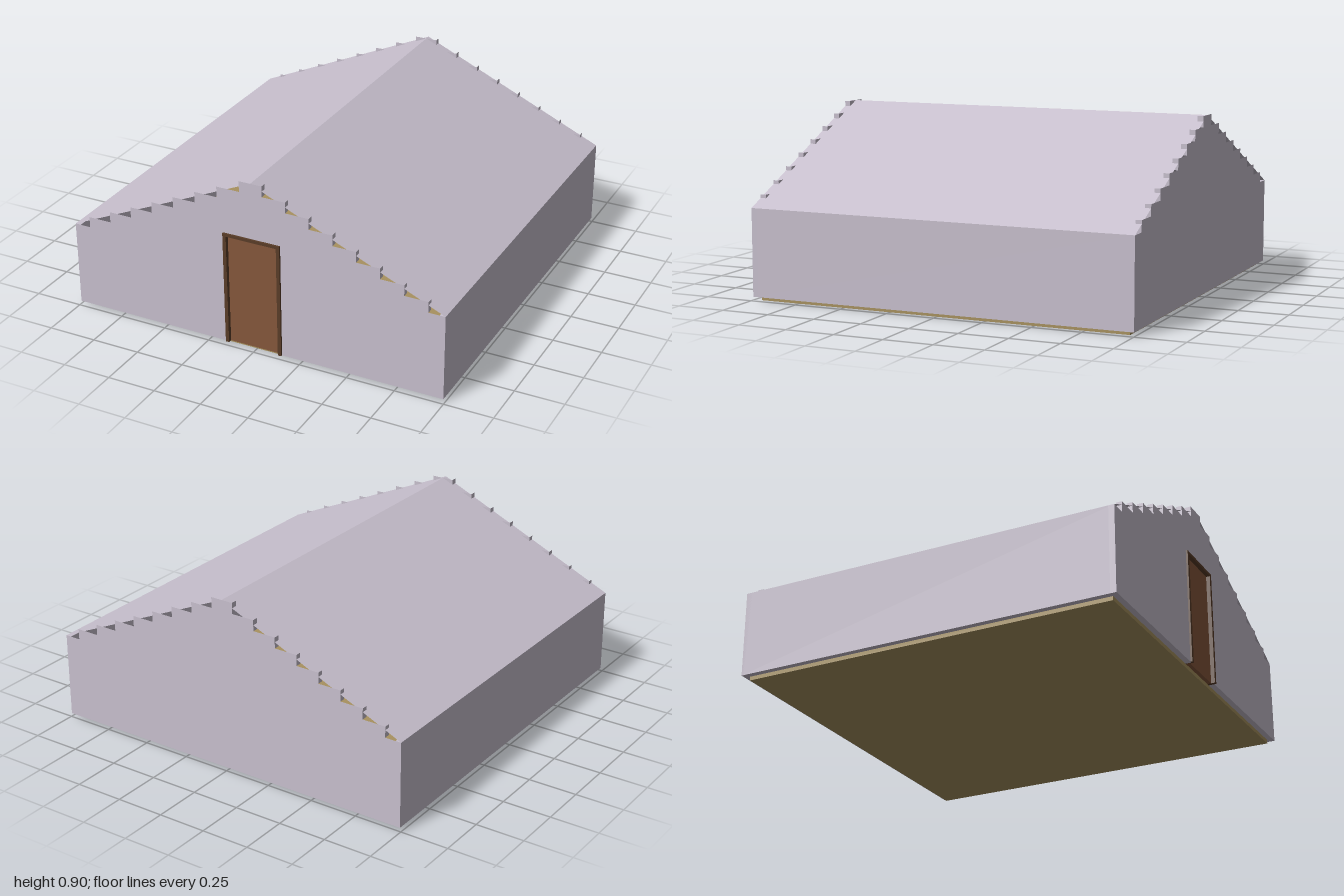
import * as THREE from 'three';

const HALF = 0.995, BACK = -1, FRONT = 0.99, BASE = 0.02, EAVE = 0.46, RIDGE = 0.905, WALL = 0.03;
const MID = (FRONT + BACK) / 2, DEPTH = FRONT - BACK;
const material = (color) => new THREE.MeshStandardMaterial({ color });

export function createModel() {
  const group = new THREE.Group();
  const plaster = material(0xc8c0ce);
  const roofPlaster = material(0xc8c0ce);
  roofPlaster.side = THREE.DoubleSide;
  const doorWood = material(0x85573b);
  const frameWood = material(0x5a3d28);
  const floorWood = material(0xa8925f);

  const add = (name, geometry, mat, x = 0, y = 0, z = 0) => {
    const mesh = new THREE.Mesh(geometry, mat);
    mesh.name = name;
    mesh.position.set(x, y, z);
    group.add(mesh);
    return mesh;
  };
  const box = (name, mat, x0, x1, y0, y1, z0, z1) =>
    add(name, new THREE.BoxGeometry(x1 - x0, y1 - y0, z1 - z0), mat,
      (x0 + x1) / 2, (y0 + y1) / 2, (z0 + z1) / 2);

  // Stepped gable wall, optionally with a doorway cut up from the bottom edge
  const gableGeometry = (doorway) => {
    const right = [[HALF, BASE], [HALF, EAVE]];
    const steps = 8, rise = (RIDGE - EAVE) / steps;
    for (let i = 0; i < steps; i++) {
      const x = 0.91 - i * 0.1214;
      right.push([x, EAVE + i * rise], [x, EAVE + (i + 1) * rise]);
    }
    const left = right.map(([x, y]) => [-x, y]).reverse();
    const door = doorway ? [[-0.14, BASE], [-0.14, 0.605], [0.14, 0.605], [0.14, BASE]] : [];
    const outline = [...right, ...left, ...door].map(([x, y]) => new THREE.Vector2(x, y));
    const solid = new THREE.ExtrudeGeometry(new THREE.Shape(outline),
      { depth: WALL, bevelEnabled: false }).toNonIndexed();

    // The step treads stay open: the roof sheet closes the wall from above
    const p = solid.attributes.position, n = solid.attributes.normal;
    const positions = [];
    for (let i = 0; i < p.count; i += 3) {
      if (n.getY(i) > 0.5) continue;
      for (let k = i; k < i + 3; k++) positions.push(p.getX(k), p.getY(k), p.getZ(k));
    }
    const geometry = new THREE.BufferGeometry();
    geometry.setAttribute('position', new THREE.Float32BufferAttribute(positions, 3));
    geometry.computeVertexNormals();
    return geometry;
  };
  add('frontGable', gableGeometry(true), plaster, 0, 0, FRONT - WALL);
  add('backGable', gableGeometry(false), plaster, 0, 0, BACK);

  // Side walls and roof slopes, mirrored
  const slope = Math.hypot(HALF, RIDGE - EAVE);
  const pitch = Math.atan2(RIDGE - EAVE, HALF);
  for (const side of [1, -1]) {
    const label = side > 0 ? 'left' : 'right';
    add(label + 'Wall', new THREE.BoxGeometry(WALL, EAVE - BASE, DEPTH), plaster,
      side * (HALF - WALL / 2), (BASE + EAVE) / 2, MID);
    const roof = add(label + 'Roof', new THREE.PlaneGeometry(slope, DEPTH).rotateX(-Math.PI / 2),
      roofPlaster, side * HALF / 2, (EAVE + RIDGE) / 2, MID);
    roof.rotation.z = -side * pitch;
  }

  // Floor slab, set in from the walls
  box('floor', floorWood, -0.965, 0.965, 0, BASE, BACK + 0.03, FRONT - 0.03);

  // Door and its frame
  box('door', doorWood, -0.14, 0.14, BASE, 0.605, 0.96, 0.98);
  for (const side of [1, -1]) {
    add(side > 0 ? 'leftJamb' : 'rightJamb', new THREE.BoxGeometry(0.018, 0.595, 0.04), frameWood,
      side * 0.143, BASE + 0.2975, 0.98);
  }
  box('doorHead', frameWood, -0.152, 0.152, 0.6, 0.615, 0.96, 1);

  return group;
}
